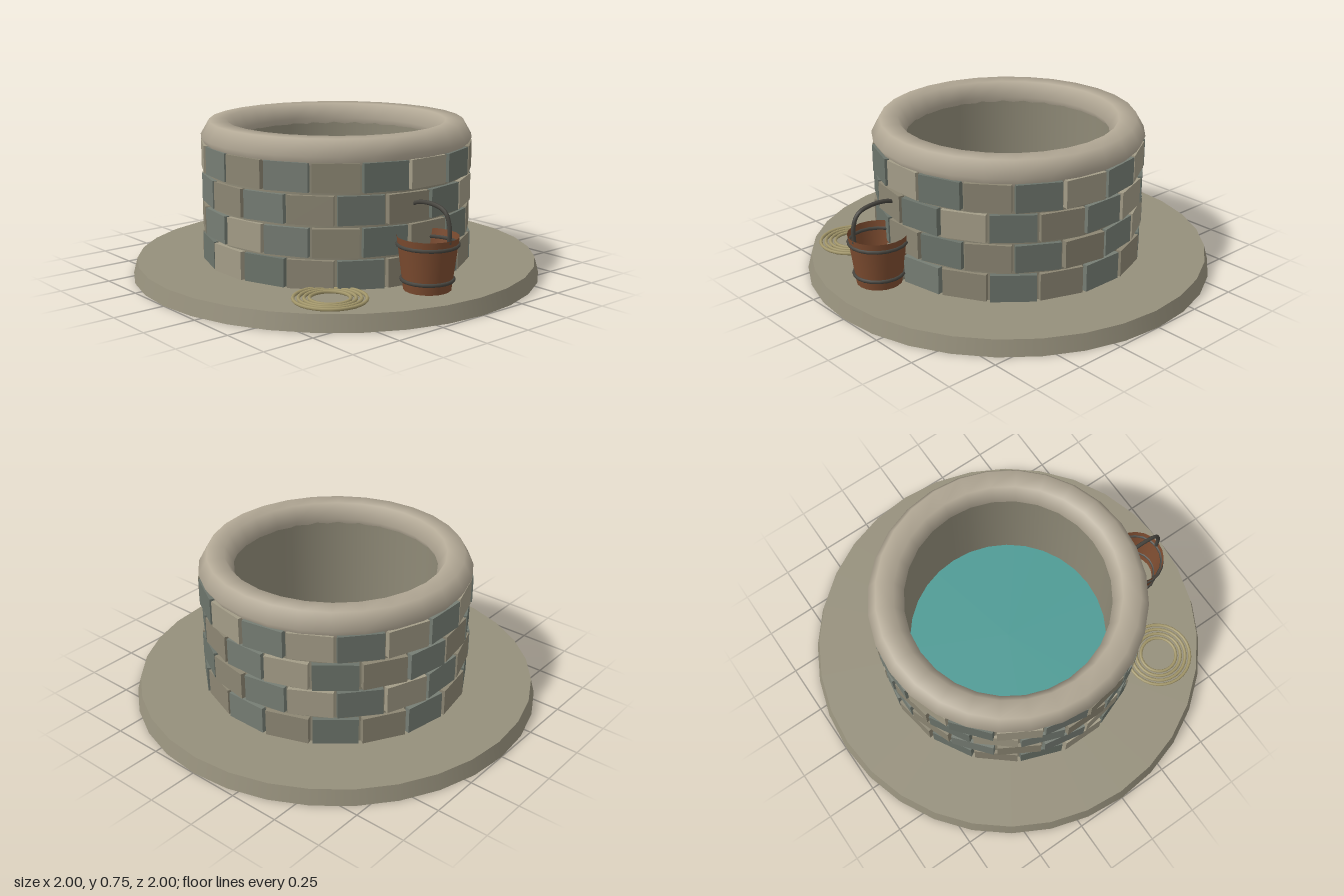
import * as THREE from 'three';

const mat = (color, extra = {}) => new THREE.MeshStandardMaterial({ color, ...extra });

function add(parent, name, geometry, material, x = 0, y = 0, z = 0) {
  const mesh = new THREE.Mesh(geometry, material);
  mesh.name = name;
  mesh.position.set(x, y, z);
  parent.add(mesh);
  return mesh;
}

// Horizontal ring
function ring(radius, tube, tubeSides, segments) {
  return new THREE.TorusGeometry(radius, tube, tubeSides, segments).rotateX(Math.PI / 2);
}

function createBrickwork() {
  const group = new THREE.Group();
  group.name = 'brickwork';
  const tones = [0xa39c87, 0x6c746b, 0x8c8673, 0x767d74].map((c) => mat(c));
  const count = 18, step = (Math.PI * 2) / count;
  const brick = new THREE.BoxGeometry(0.21, 0.132, 0.1);
  let seed = 7;
  const random = () => (seed = (seed * 16807) % 2147483647) / 2147483647;
  for (let row = 0; row < 4; row++) {
    for (let i = 0; i < count; i++) {
      // Courses alternate by half a brick
      const a = (i + (row % 2) * 0.5) * step;
      const tone = tones[(i % 2) * 1 + (random() > 0.5 ? 2 : 0)];
      const r = 0.6 + (random() - 0.5) * 0.008;
      const mesh = add(group, 'brick', brick, tone,
        Math.sin(a) * r, 0.144 + row * 0.146, Math.cos(a) * r);
      mesh.rotation.y = a;
    }
  }
  return group;
}

function createBucket() {
  const group = new THREE.Group();
  group.name = 'bucket';
  const wood = mat(0x7d4c30, { side: THREE.DoubleSide });
  const iron = mat(0x47453f);
  // Tapered open body
  add(group, 'bucketBody', new THREE.CylinderGeometry(0.14, 0.108, 0.245, 20, 1, true), wood, 0, 0.1225, 0);
  // Iron hoops
  add(group, 'lowerHoop', ring(0.117, 0.009, 6, 20), iron, 0, 0.048, 0);
  add(group, 'upperHoop', ring(0.136, 0.009, 6, 20), iron, 0, 0.207, 0);
  // Arched handle
  const arch = [[-0.13, 0.23], [-0.13, 0.31], [-0.1, 0.37], [0, 0.392], [0.1, 0.37], [0.13, 0.31], [0.13, 0.23]];
  const path = new THREE.CatmullRomCurve3(arch.map(([x, y]) => new THREE.Vector3(x, y, 0)));
  add(group, 'bucketHandle', new THREE.TubeGeometry(path, 24, 0.01, 6), iron);
  group.position.set(0.735, 0.075, 0.085);
  return group;
}

function createRope() {
  const group = new THREE.Group();
  group.name = 'ropeCoil';
  const rope = mat(0xa3976a);
  for (let i = 0; i < 4; i++) {
    add(group, 'ropeLoop', ring(0.09 + i * 0.024, 0.008, 6, 28), rope);
  }
  group.position.set(0.582, 0.083, 0.52);
  return group;
}

export function createModel() {
  const model = new THREE.Group();
  model.name = 'well';

  // Paved base
  add(model, 'base', new THREE.CylinderGeometry(0.98, 1, 0.075, 32), mat(0x958f7b), 0, 0.0375, 0);

  // Hollow shaft wall behind the bricks
  const profile = [[0.505, 0.075], [0.635, 0.075], [0.635, 0.65], [0.505, 0.68], [0.505, 0.075]];
  const stone = mat(0x8f8a77, { side: THREE.DoubleSide });
  const shaft = new THREE.Group();
  shaft.name = 'shaft';
  for (let i = 0; i < profile.length - 1; i++) {
    const pts = [profile[i], profile[i + 1]].map(([x, y]) => new THREE.Vector2(x, y));
    add(shaft, 'shaftWall', new THREE.LatheGeometry(pts, 32), stone);
  }
  model.add(shaft);
  model.add(createBrickwork());

  // Rounded stone rim and water
  add(model, 'rim', ring(0.575, 0.085, 6, 28), mat(0xb3a996), 0, 0.676, 0);
  add(model, 'water', new THREE.CircleGeometry(0.51, 28).rotateX(-Math.PI / 2), mat(0x4d9a94), 0, 0.12, 0);

  model.add(createBucket(), createRope());
  return model;
}
